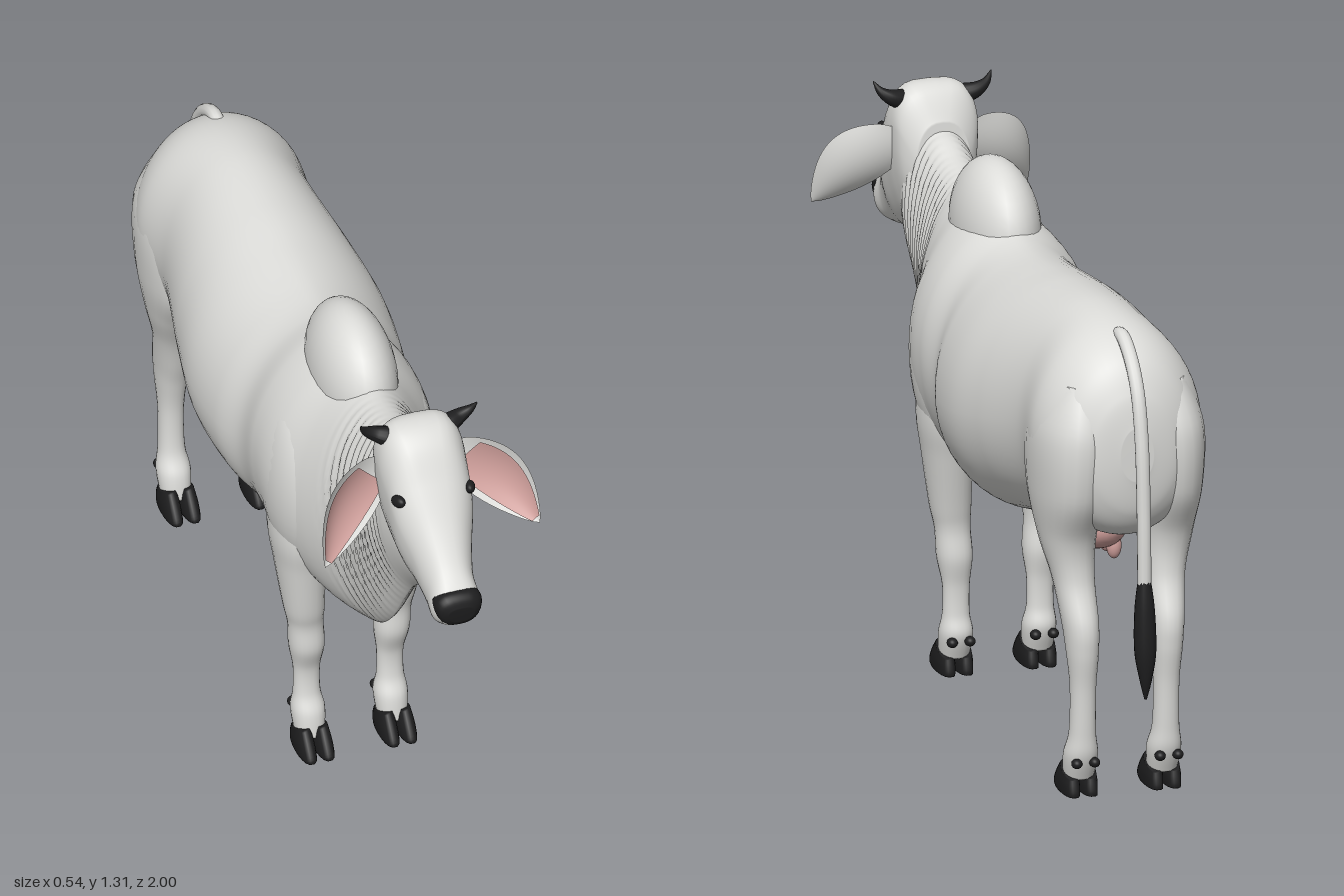
import * as THREE from 'three';

const mat = (name, color, side = THREE.FrontSide) => {
  const m = new THREE.MeshStandardMaterial({ color, side });
  m.name = name;
  return m;
};

// Catmull-Rom blend of whole section rows
function rowAt(rows, t) {
  const i = Math.min(Math.floor(t), rows.length - 2), f = t - i;
  const at = k => rows[Math.max(0, Math.min(rows.length - 1, k))];
  const [p, a, b, n] = [at(i - 1), at(i), at(i + 1), at(i + 2)];
  return a.map((v, k) => 0.5 * (2 * v + (b[k] - p[k]) * f
    + (2 * p[k] - 5 * v + 4 * b[k] - n[k]) * f * f
    + (3 * v - p[k] - 3 * b[k] + n[k]) * f * f * f));
}

// Closed loft. Row: z,y of edge A, z,y of edge B, centre x, half width, widest point (B to A), exponents at A and B
function loft(rows, steps = 8, sides = 24, rule = null) {
  const rings = (rows.length - 1) * steps, pos = [], idx = [];
  for (let r = 0; r <= rings; r++) {
    const [az, ay, bz, by, x, w, mid, eA, eB] = rowAt(rows, r / steps);
    for (let s = 0; s < sides; s++) {
      const q = (s / sides) * Math.PI * 2, c = Math.cos(q), n = Math.sin(q);
      const f = mid + n * (n > 0 ? 1 - mid : mid);
      const p = new THREE.Vector3(
        x + w * Math.sign(c) * Math.abs(c) ** (n > 0 ? eA : eB),
        by + (ay - by) * f, bz + (az - bz) * f);
      if (rule) rule(p);
      pos.push(p.x, p.y, p.z);
      if (r < rings) {
        const a = r * sides + s, b = r * sides + (s + 1) % sides;
        idx.push(a, b, a + sides, b, b + sides, a + sides);
      }
    }
  }
  // end caps
  for (const r of [0, rings]) {
    const [az, ay, bz, by, x] = rows[r ? rows.length - 1 : 0], centre = pos.length / 3;
    pos.push(x, (ay + by) / 2, (az + bz) / 2);
    for (let s = 0; s < sides; s++) {
      const a = r * sides + s, b = r * sides + (s + 1) % sides;
      r ? idx.push(a, b, centre) : idx.push(b, a, centre);
    }
  }
  // turn the faces outward when the volume is negative
  let vol = 0;
  const v = i => new THREE.Vector3().fromArray(pos, i * 3);
  for (let i = 0; i < idx.length; i += 3) vol += v(idx[i]).dot(v(idx[i + 1]).cross(v(idx[i + 2])));
  if (vol < 0) idx.reverse();
  const g = new THREE.BufferGeometry();
  g.setAttribute('position', new THREE.Float32BufferAttribute(pos, 3));
  g.setIndex(idx);
  g.computeVertexNormals();
  return g;
}

// Row makers: upright slices and level slices
const slice = ([z, top, bottom, w, mid = 0.48, eA = 1, eB = 1]) => [z, top, z, bottom, 0, w, mid, eA, eB];
const level = ([y, front, back, x, w]) => [front, y, back, y, x, w, 0.5, 0.9, 0.9];

// Cupped leaf surface for an ear
function leaf(side, trim, lift) {
  const start = new THREE.Vector3(0.085, 1.185, 0.665), end = new THREE.Vector3(0.268, 0.995, 0.785);
  const across = new THREE.Vector3(0.7, 0.7, 0.1).normalize();
  const face = end.clone().sub(start).cross(across).normalize();
  const nu = 20, nv = 12, pos = [], idx = [];
  for (let i = 0; i <= nu; i++) for (let j = 0; j <= nv; j++) {
    const u = (1 - trim) * 0.7 + (i / nu) * (1 - (1 - trim) * 0.95), v = (j / nv) * 2 - 1;
    const h = (0.022 * (1 - u) + 0.062 * Math.sin(Math.PI * u ** 0.85) ** 0.8) * trim;
    const p = start.clone().lerp(end, Math.min(u, 1)).addScaledVector(across, h * v + 0.018 * Math.sin(Math.PI * u))
      .addScaledVector(face, lift - 0.025 * Math.sin(Math.PI * Math.min(u, 1)) * (1 - (v * trim) ** 2));
    pos.push(p.x * side, p.y, p.z);
    if (i < nu && j < nv) {
      const a = i * (nv + 1) + j, b = a + nv + 1;
      side > 0 ? idx.push(a, b, a + 1, b, b + 1, a + 1) : idx.push(a, a + 1, b, b, a + 1, b + 1);
    }
  }
  const g = new THREE.BufferGeometry();
  g.setAttribute('position', new THREE.Float32BufferAttribute(pos, 3));
  g.setIndex(idx);
  g.computeVertexNormals();
  return g;
}

export function createModel() {
  const group = new THREE.Group();
  const hide = mat('pale hide', 0xdcdcd9), black = mat('black horn', 0x1e1e1f);
  const pink = mat('pink skin', 0xd0a09c, THREE.DoubleSide), earHide = mat('ear hide', 0xdcdcd9, THREE.DoubleSide);
  const add = (name, geometry, material) => {
    const m = new THREE.Mesh(geometry, material);
    m.name = name;
    group.add(m);
    return m;
  };
  const ball = (name, material, p, r) => {
    const m = add(name, new THREE.SphereGeometry(1, 28, 20), material);
    m.position.set(...p);
    m.scale.set(...r);
    return m;
  };

  // Torso, neck and dewlap, with skin folds on the neck
  const folds = p => {
    const mask = THREE.MathUtils.smoothstep(p.z, 0.34, 0.42) * (1 - THREE.MathUtils.smoothstep(p.z, 0.6, 0.66));
    const wave = Math.sin(p.z * 130 + 2.5 * Math.sin(p.y * 8) + p.y * 6);
    p.x *= 1 - 0.09 * mask * Math.abs(wave) ** 3;
  };
  add('body', loft([
    [-0.914, 0.93, 0.8, 0.04], [-0.895, 1.01, 0.71, 0.11], [-0.845, 1.09, 0.65, 0.172],
    [-0.75, 1.14, 0.63, 0.207], [-0.6, 1.158, 0.6, 0.197], [-0.4, 1.143, 0.565, 0.232, 0.45, 1.05, 0.9],
    [-0.25, 1.125, 0.53, 0.252, 0.45, 1.1, 0.9], [-0.1, 1.113, 0.515, 0.24, 0.45, 1.15, 0.95],
    [0, 1.12, 0.51, 0.212, 0.46, 1.15, 1], [0.1, 1.15, 0.5, 0.215, 0.5, 1.25, 1], [0.2, 1.16, 0.475, 0.208, 0.5, 1.3, 1.05],
    [0.3, 1.155, 0.455, 0.168, 0.5, 1.2, 1.25], [0.4, 1.15, 0.485, 0.125, 0.55, 1, 1.5],
    [0.5, 1.165, 0.575, 0.1, 0.6, 0.9, 1.5], [0.58, 1.195, 0.685, 0.092, 0.6, 0.9, 1.5],
    [0.65, 1.2, 0.775, 0.088, 0.6, 0.9, 1.5], [0.74, 1.12, 0.845, 0.06, 0.6, 1, 1.4], [0.82, 1.02, 0.9, 0.02],
  ].map(slice), 16, 56, folds), hide);
  ball('hump', hide, [0, 1.09, 0.195], [0.1, 0.17, 0.185]);
  for (const s of [-1, 1]) ball('shoulder', hide, [s * 0.12, 0.8, 0.17], [0.09, 0.24, 0.15]);

  // Head: brow edge to jaw edge
  add('head', loft([
    [0.6, 1.22, 0.58, 0.98, 0, 0.065, 0.6, 0.8, 1], [0.645, 1.29, 0.62, 0.94, 0, 0.098, 0.72, 0.6, 1],
    [0.7, 1.302, 0.67, 0.92, 0, 0.106, 0.7, 0.55, 1], [0.755, 1.272, 0.72, 0.91, 0, 0.103, 0.65, 0.65, 1],
    [0.81, 1.195, 0.775, 0.9, 0, 0.096, 0.65, 0.75, 1], [0.87, 1.11, 0.83, 0.895, 0, 0.074, 0.6, 0.8, 0.9],
    [0.925, 1.04, 0.885, 0.885, 0, 0.06, 0.5, 0.8, 0.8], [0.968, 0.995, 0.935, 0.882, 0, 0.06, 0.5, 0.75, 0.7],
    [0.985, 0.97, 0.965, 0.892, 0, 0.045, 0.5, 0.75, 0.7],
  ], 10, 36), hide);
  add('nose', loft([
    [0.95, 0.992, 0.948, 0.915, 0, 0.058, 0.6, 0.7, 0.8], [0.975, 0.994, 0.968, 0.905, 0, 0.058, 0.6, 0.7, 0.8],
    [0.992, 0.982, 0.984, 0.906, 0, 0.05, 0.6, 0.7, 0.8], [1, 0.962, 0.994, 0.92, 0, 0.032, 0.6, 0.7, 0.8],
  ], 5, 24), black);

  // Udder, teats and belly flap
  ball('udder', pink, [0, 0.6, -0.59], [0.075, 0.06, 0.085]);
  for (const x of [-0.035, 0.035]) for (const z of [-0.56, -0.62]) ball('teat', pink, [x, 0.548, z], [0.018, 0.032, 0.018]);
  add('bellyFlap', loft([
    [0.6, -0.14, -0.56, 0, 0.08], [0.52, -0.22, -0.47, 0, 0.055], [0.46, -0.275, -0.415, 0, 0.038],
    [0.41, -0.32, -0.37, 0, 0.022], [0.395, -0.337, -0.355, 0, 0.008],
  ].map(level)), hide);

  // Tail and tuft
  const path = [[1.1, -0.72], [1.125, -0.79], [1.09, -0.86], [1.02, -0.915], [0.9, -0.948], [0.72, -0.963], [0.54, -0.968]];
  add('tail', new THREE.TubeGeometry(new THREE.CatmullRomCurve3(path.map(([y, z]) => new THREE.Vector3(0, y, z))), 48, 0.017, 12), hide);
  add('tailTuft', loft([
    [0.575, -0.952, -0.983, 0, 0.015], [0.5, -0.945, -0.994, 0, 0.024], [0.4, -0.948, -1, 0, 0.026],
    [0.33, -0.962, -0.993, 0, 0.015], [0.28, -0.974, -0.98, 0, 0.003],
  ].map(level), 6, 16), black);

  for (const s of [-1, 1]) {
    // Legs
    add('frontLeg', loft([
      [0.8, 0.27, 0.06, s * 0.125, 0.06], [0.65, 0.275, 0.075, s * 0.13, 0.065], [0.55, 0.258, 0.1, s * 0.124, 0.06],
      [0.42, 0.238, 0.13, s * 0.115, 0.05], [0.36, 0.224, 0.14, s * 0.11, 0.043], [0.29, 0.222, 0.135, s * 0.106, 0.043],
      [0.22, 0.2, 0.146, s * 0.104, 0.033], [0.15, 0.202, 0.145, s * 0.104, 0.033], [0.1, 0.222, 0.135, s * 0.103, 0.041],
      [0.04, 0.23, 0.155, s * 0.103, 0.036],
    ].map(level)), hide);
    add('hindLeg', loft([
      [1.02, -0.65, -0.85, s * 0.1, 0.06], [0.9, -0.58, -0.9, s * 0.115, 0.09], [0.75, -0.58, -0.888, s * 0.12, 0.085],
      [0.63, -0.65, -0.832, s * 0.12, 0.067], [0.53, -0.705, -0.825, s * 0.112, 0.05], [0.43, -0.74, -0.858, s * 0.106, 0.043],
      [0.36, -0.762, -0.86, s * 0.104, 0.038], [0.27, -0.778, -0.848, s * 0.103, 0.031], [0.16, -0.775, -0.842, s * 0.103, 0.032],
      [0.1, -0.75, -0.838, s * 0.103, 0.041], [0.04, -0.74, -0.815, s * 0.103, 0.036],
    ].map(level)), hide);

    // Cloven hooves with dewclaws
    for (const z of [0, -0.97]) for (const d of [-0.022, 0.022]) {
      const x = s * 0.103 + d;
      add('hoof', loft([
        [z + 0.275, 0, z + 0.143, 0, x, 0.02, 0.5, 0.8, 0.7], [z + 0.284, 0.012, z + 0.143, 0.01, x, 0.0215, 0.5, 0.8, 0.7],
        [z + 0.262, 0.042, z + 0.147, 0.025, x, 0.0215, 0.5, 0.8, 0.7], [z + 0.232, 0.072, z + 0.153, 0.042, x, 0.018, 0.5, 0.8, 0.7],
      ], 5, 18), black);
      ball('dewclaw', black, [x, 0.088, z + 0.135], [0.013, 0.012, 0.015]);
    }

    // Eyes, horns and ears
    ball('eye', black, [s * 0.089, 1.155, 0.795], [0.013, 0.015, 0.024]).rotation.set(-0.35, s * -0.25, 0);
    const tip = [[0.075, 1.262, 0.68], [0.105, 1.272, 0.672], [0.13, 1.288, 0.675], [0.146, 1.312, 0.685]];
    const curve = new THREE.CatmullRomCurve3(tip.map(([x, y, z]) => new THREE.Vector3(s * x, y, z)));
    const horn = new THREE.TubeGeometry(curve, 16, 0.025, 14), hp = horn.attributes.position, v = new THREE.Vector3();
    for (let i = 0; i < hp.count; i++) {
      const t = Math.floor(i / 15) / 16;
      v.fromBufferAttribute(hp, i).lerp(curve.getPointAt(t), 0.95 * t ** 1.3);
      hp.setXYZ(i, v.x, v.y, v.z);
    }
    horn.computeVertexNormals();
    add('horn', horn, black);
    add('ear', leaf(s, 1, 0), earHide);
    add('innerEar', leaf(s, 0.78, 0.006), pink);
  }
  return group;
}
